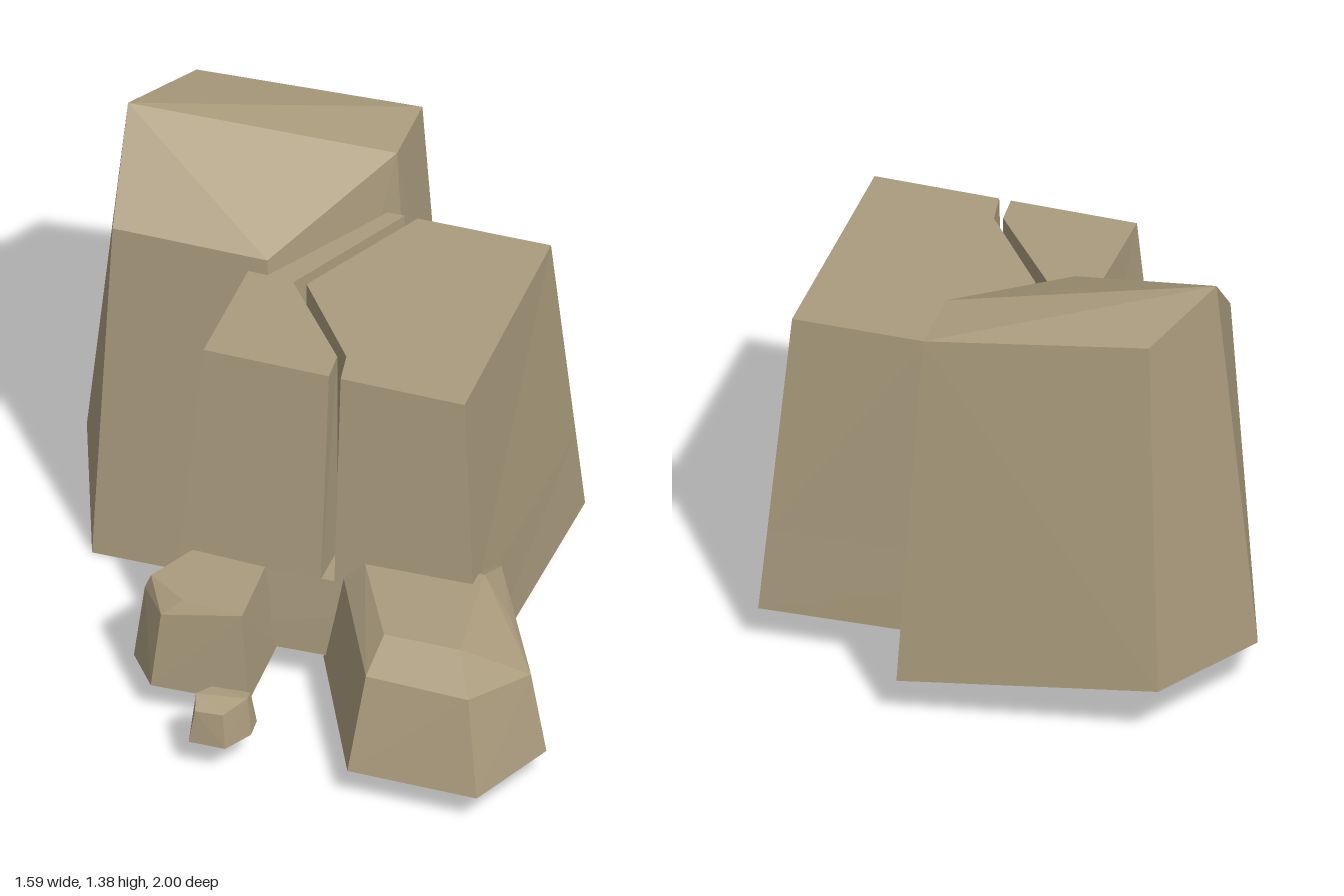
import * as THREE from 'three';
import { ConvexGeometry } from 'three/addons/geometries/ConvexGeometry.js';

const stone = new THREE.MeshStandardMaterial({ color: 0xab9c7e });
stone.name = 'sandstone';

// Convex boulder from its corner points
function boulder(name, corners) {
  const mesh = new THREE.Mesh(new ConvexGeometry(corners.map(c => new THREE.Vector3(...c))), stone);
  mesh.name = name;
  return mesh;
}

// Tapered prism between two matching [x, z] outlines, counterclockwise from above
function prism(name, low, yLow, high, yHigh, bottomCap) {
  const pos = [];
  const tri = (...pts) => pts.forEach(p => pos.push(...p));
  const b = low.map(([x, z]) => [x, yLow, z]);
  const t = high.map(([x, z]) => [x, yHigh, z]);
  b.forEach((p, i) => {
    const j = (i + 1) % b.length;
    tri(p, b[j], t[j]);
    tri(p, t[j], t[i]);
  });
  const flat = high.map(([x, z]) => new THREE.Vector2(x, -z));
  for (const [i, j, k] of THREE.ShapeUtils.triangulateShape(flat, [])) {
    tri(t[i], t[j], t[k]);
    if (bottomCap) tri(b[i], b[k], b[j]);
  }
  const geo = new THREE.BufferGeometry();
  geo.setAttribute('position', new THREE.Float32BufferAttribute(pos, 3));
  geo.computeVertexNormals();
  const mesh = new THREE.Mesh(geo, stone);
  mesh.name = name;
  return mesh;
}

const mix = (a, b, t) => a.map((v, i) => v + (b[i] - v) * t);

// Main block: solid foot with two upper halves parted by a narrow crack
function mainBlock() {
  const group = new THREE.Group();
  group.name = 'mainBlock';
  const yFoot = 0.13, yCrack = 0.39, yTop = 1.09;
  // corners: left, front, right, back
  const foot = [[-0.49, -0.175], [-0.01, 0.605], [0.79, 0.175], [0.31, -0.6]];
  const top = [[-0.385, -0.155], [0, 0.54], [0.69, 0.14], [0.3, -0.54]];
  const waist = foot.map((p, i) => mix(p, top[i], (yCrack - yFoot) / (yTop - yFoot)));

  const backHalf = ([l, f, r, b]) =>
    [l, mix(l, f, 0.48), [-0.12, 0.125], [0.02, -0.222], mix(b, r, 0.435), b];
  const frontHalf = ([l, f, r, b]) =>
    [mix(l, f, 0.525), f, r, mix(b, r, 0.485), [0.043, -0.19], [-0.1, 0.142]];

  group.add(
    prism('blockFoot', foot, yFoot, waist, yCrack, true),
    prism('blockBackHalf', backHalf(waist), yCrack, backHalf(top), yTop, false),
    prism('blockFrontHalf', frontHalf(waist), yCrack, frontHalf(top), yTop, false)
  );
  return group;
}

export function createModel() {
  const model = new THREE.Group();
  model.name = 'rockFormation';

  model.add(mainBlock());

  // Tall rear block with a sloping ridge on top
  model.add(boulder('tallBlock', [
    [-0.31, 0, -0.72], [-0.025, 0, -0.225], [0.53, 0.14, -0.26],
    [0.77, 0.14, -0.39], [0.31, 0.19, -1], [-0.08, 0.19, -1],
    [-0.24, 1.14, -0.71], [-0.01, 1.14, -0.3], [0.49, 1.275, -0.3],
    [0.69, 1.275, -0.415], [0.285, 1.32, -0.935], [-0.02, 1.38, -0.89]
  ]));

  // Low slab leaning out at the front
  model.add(boulder('frontSlab', [
    [-0.55, 0.11, 0.65], [-0.36, 0.11, 0.995], [-0.06, 0.11, 0.96],
    [0.25, 0.11, 0.48], [-0.24, 0.11, 0.2],
    [-0.47, 0.405, 0.64], [-0.325, 0.405, 0.92], [-0.07, 0.36, 0.905],
    [0.02, 0.405, 0.72], [0.17, 0.405, 0.51], [-0.2, 0.405, 0.24],
    [-0.355, 0.47, 0.59], [-0.24, 0.47, 0.79], [0.05, 0.47, 0.57], [-0.17, 0.47, 0.3]
  ]));

  // Squat rock beside the main block
  model.add(boulder('sideRock', [
    [-0.7, 0.11, -0.03], [-0.64, 0.11, -0.17], [-0.48, 0.11, -0.17],
    [-0.3, 0.11, 0.07], [-0.55, 0.11, 0.22],
    [-0.67, 0.355, -0.02], [-0.62, 0.36, -0.145], [-0.61, 0.405, -0.13],
    [-0.44, 0.405, -0.14], [-0.34, 0.405, 0.06], [-0.545, 0.405, 0.19], [-0.62, 0.405, 0.02]
  ]));

  // Small outlying stone
  model.add(boulder('smallStone', [
    [-0.795, 0.107, 0.24], [-0.75, 0.107, 0.2], [-0.68, 0.107, 0.2],
    [-0.595, 0.12, 0.31], [-0.64, 0.107, 0.335], [-0.74, 0.107, 0.335],
    [-0.78, 0.215, 0.25], [-0.74, 0.237, 0.21], [-0.68, 0.232, 0.21],
    [-0.61, 0.225, 0.3], [-0.64, 0.23, 0.32], [-0.735, 0.217, 0.32]
  ]));

  return model;
}
